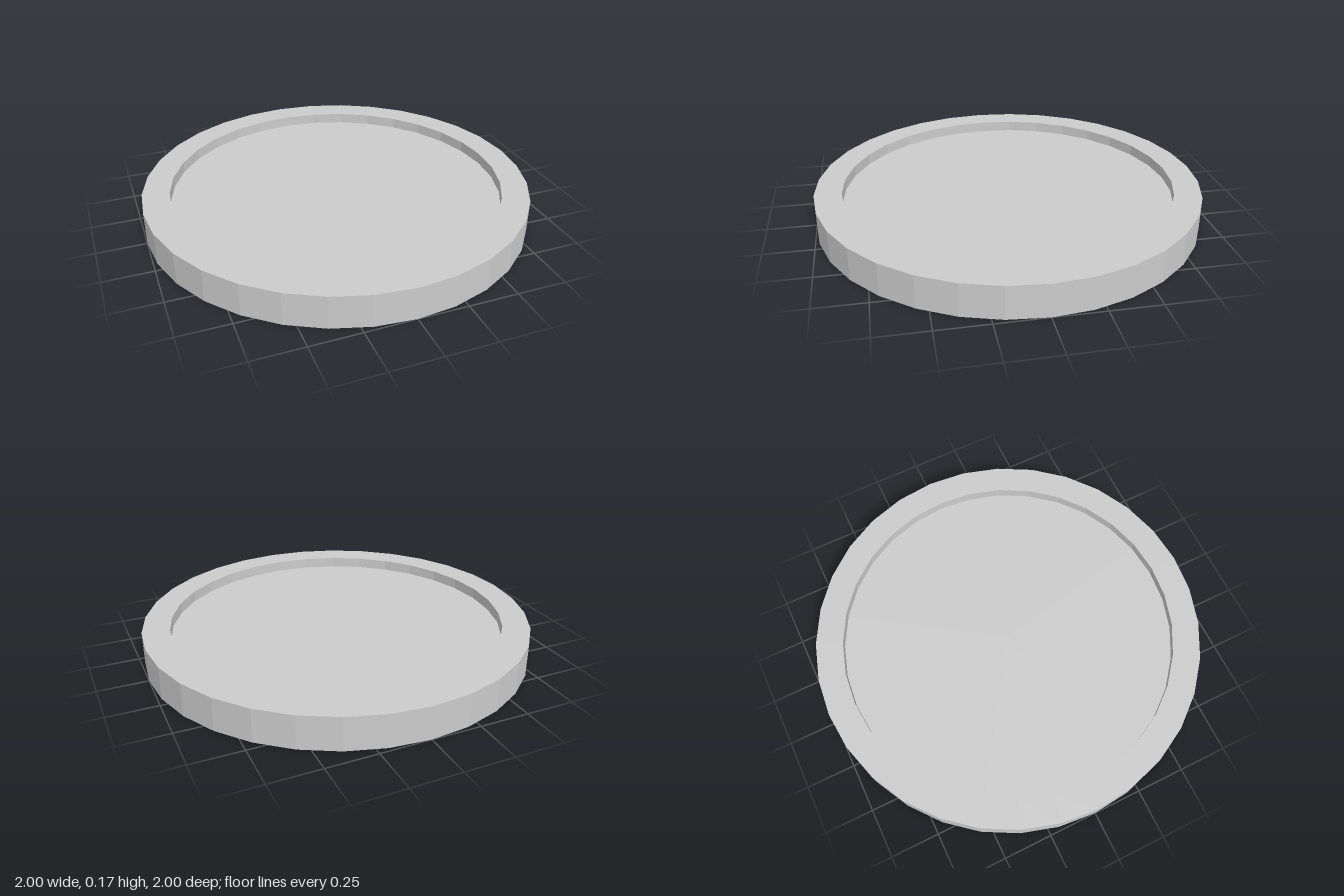
import * as THREE from 'three';

const SIDES = 32;
const RADIUS = 1, INNER = 0.86;
const HEIGHT = 0.168, RECESS = 0.056;

export function createModel() {
  const group = new THREE.Group();
  group.name = 'recessedDisc';
  const material = new THREE.MeshStandardMaterial({ color: 0xcccccc, flatShading: true });

  // Raised rim: from the lower recess, around the outside, into the upper recess
  const profile = [
    [INNER, RECESS], [INNER, 0], [RADIUS, 0],
    [RADIUS, HEIGHT], [INNER, HEIGHT], [INNER, HEIGHT - RECESS],
  ].map(([r, y]) => new THREE.Vector2(r, y));
  const rim = new THREE.Mesh(new THREE.LatheGeometry(profile, SIDES), material);
  rim.name = 'rim';

  // Thin panel filling the rim, set in equally from top and bottom
  const panel = new THREE.Mesh(
    new THREE.CylinderGeometry(INNER, INNER, HEIGHT - 2 * RECESS, SIDES), material);
  panel.name = 'panel';
  panel.position.y = HEIGHT / 2;

  group.add(rim, panel);
  return group;
}
